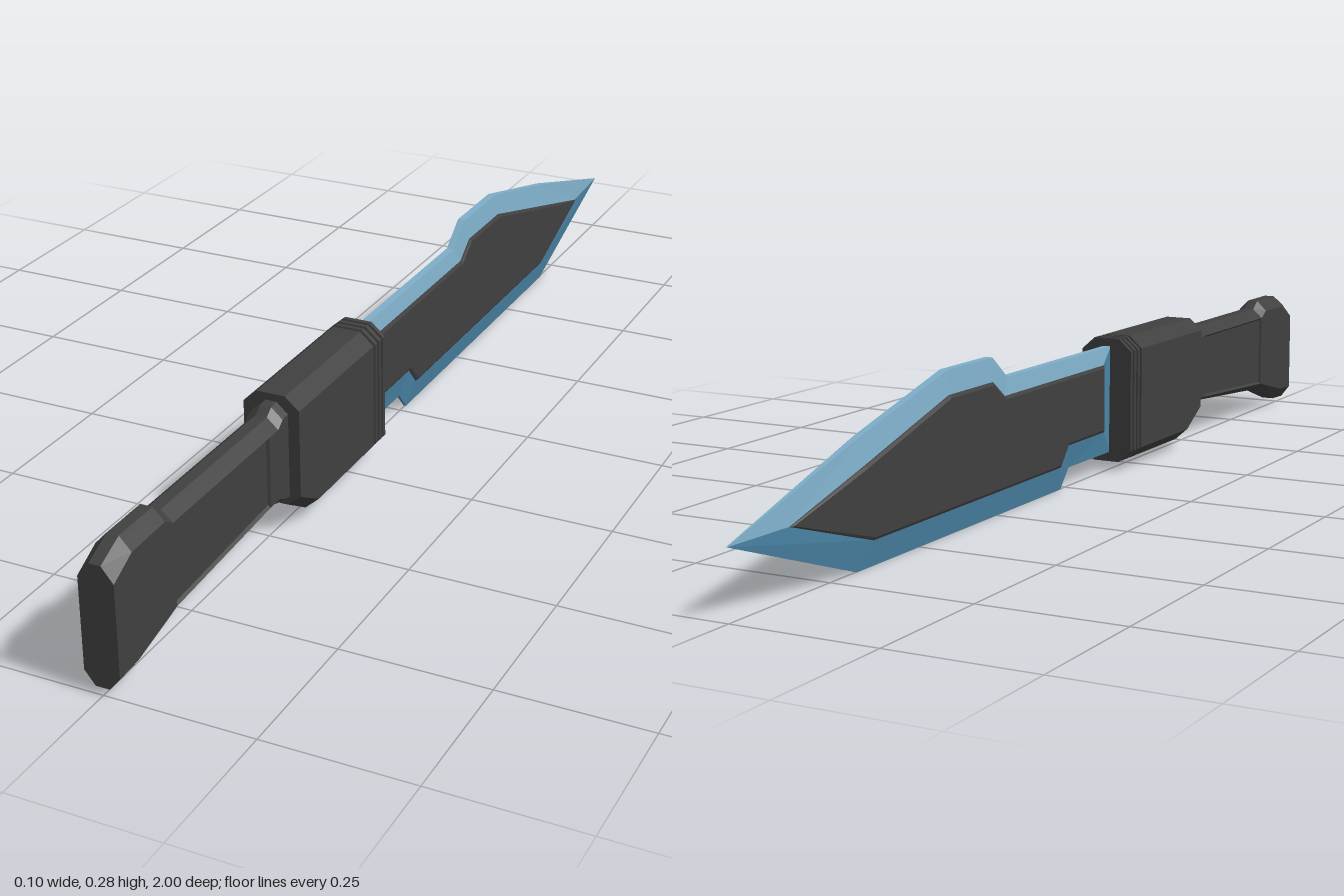
import * as THREE from 'three';

const dark = new THREE.MeshStandardMaterial({ color: 0x404040, flatShading: true });
dark.name = 'charcoal';
const lightBlue = new THREE.MeshStandardMaterial({ color: 0x7eaec8, flatShading: true });
lightBlue.name = 'light blue';
const deepBlue = new THREE.MeshStandardMaterial({ color: 0x4a84a6, flatShading: true });
deepBlue.name = 'deep blue';

function meshFromTriangles(name, positions, material) {
  const geometry = new THREE.BufferGeometry();
  geometry.setAttribute('position', new THREE.Float32BufferAttribute(positions, 3));
  geometry.computeVertexNormals();
  const mesh = new THREE.Mesh(geometry, material);
  mesh.name = name;
  return mesh;
}

function quad(out, a, b, c, d) {
  out.push(...a, ...b, ...c, ...a, ...c, ...d);
}

// Chamfered cross-section, counter-clockwise seen from +z; d sinks the side panels
function section({ z, top, st, sb, bot, w, tw, bw, d = 0 }) {
  const e = d ? 0.004 : 0.001;
  const half = [[bw, bot], [w, sb], [w - d, sb + e], [w - d, st - e], [w, st], [tw, top]];
  const mirrored = half.map(([x, y]) => [-x, y]).reverse();
  return [...half, ...mirrored].map(([x, y]) => [x, y, z]);
}

// Skin sections ordered by rising z and close both ends
function loft(name, sections, material) {
  const rings = sections.map(section);
  const out = [];
  const n = rings[0].length;
  for (let i = 0; i < rings.length - 1; i++) {
    for (let j = 0; j < n; j++) {
      const k = (j + 1) % n;
      quad(out, rings[i][j], rings[i][k], rings[i + 1][k], rings[i + 1][j]);
    }
  }
  const first = rings[0], last = rings[rings.length - 1];
  for (let j = 1; j < n - 1; j++) {
    out.push(...last[0], ...last[j], ...last[j + 1]);
    out.push(...first[0], ...first[j + 1], ...first[j]);
  }
  return meshFromTriangles(name, out, material);
}

// Matching outer and inner blade outlines as [z, y], with outer half thickness
const outer = [
  [0.17, 0.235, 0.007], [-0.22, 0.235, 0.007], [-0.27, 0.275, 0.007], [-0.415, 0.275, 0.007],
  [-0.67, 0.21, 0.006], [-1, 0.11, 0.001], [-0.68, 0, 0.002], [-0.02, 0, 0.002],
  [0.01, 0.035, 0.003], [0.17, 0.035, 0.005],
];
const inner = [
  [0.13, 0.205], [-0.24, 0.205], [-0.28, 0.235], [-0.42, 0.235], [-0.67, 0.165],
  [-0.86, 0.11], [-0.65, 0.045], [-0.04, 0.045], [-0.01, 0.08], [0.13, 0.08],
];

function bladeBevels(name, from, to, material) {
  const out = [];
  const thickness = (z) => (z < -0.8 ? 0.007 : 0.012);
  for (let i = from; i < to; i++) {
    const k = (i + 1) % outer.length;
    const o = (s, p) => [s * outer[p][2], outer[p][1], outer[p][0]];
    const n = (s, p) => [s * thickness(inner[p][0]), inner[p][1], inner[p][0]];
    quad(out, o(1, i), n(1, i), n(1, k), o(1, k));
    quad(out, o(-1, i), o(-1, k), n(-1, k), n(-1, i));
    quad(out, o(-1, i), o(1, i), o(1, k), o(-1, k));
  }
  return meshFromTriangles(name, out, material);
}

function bladeCore() {
  const shape = new THREE.Shape(inner.map(([z, y]) => new THREE.Vector2(-z, y)));
  const geometry = new THREE.ExtrudeGeometry(shape, {
    depth: 0.028, bevelEnabled: true, bevelThickness: 0.003,
    bevelSize: 0.005, bevelOffset: -0.005, bevelSegments: 1,
  });
  geometry.translate(0, 0, -0.014);
  geometry.rotateY(Math.PI / 2);
  // Thin the core toward the tip
  const p = geometry.attributes.position;
  for (let i = 0; i < p.count; i++) {
    const t = THREE.MathUtils.clamp((-0.67 - p.getZ(i)) / 0.19, 0, 1);
    p.setX(i, p.getX(i) * (1 - 0.4 * t));
  }
  geometry.computeVertexNormals();
  const mesh = new THREE.Mesh(geometry, dark);
  mesh.name = 'bladeCore';
  return mesh;
}

export function createModel() {
  const model = new THREE.Group();
  model.name = 'knife';

  // Blade
  const blade = new THREE.Group();
  blade.name = 'blade';
  blade.add(
    bladeBevels('bladeSpine', 0, 5, lightBlue),
    bladeBevels('bladeEdge', 5, 10, deepBlue),
    bladeCore(),
  );
  model.add(blade);

  // Guard block with a slanted heel
  const block = { top: 0.25, st: 0.228, sb: 0.04, bot: 0.018, w: 0.05, tw: 0.025, bw: 0.025 };
  const groove = { top: 0.242, st: 0.222, sb: 0.046, bot: 0.026, w: 0.043, tw: 0.021, bw: 0.021 };
  model.add(loft('guard', [
    { ...block, z: 0.212 },
    { ...block, z: 0.42 },
    { ...block, z: 0.482, sb: 0.075, bot: 0.055 },
  ], dark));

  // Ribbed collar between guard and blade
  const ribs = [];
  for (let i = 0; i < 3; i++) {
    const z = 0.167 + i * 0.015;
    ribs.push({ ...block, z }, { ...block, z: z + 0.008 });
    ribs.push({ ...groove, z: z + 0.01 }, { ...groove, z: z + 0.014 });
  }
  ribs.push({ ...groove, z: 0.214 });
  model.add(loft('collar', ribs, dark));

  // Grip with sunken side panels, flaring into the pommel
  const g = { w: 0.03, tw: 0.01, bw: 0.012 };
  const waistFront = { ...g, top: 0.225, st: 0.207, sb: 0.083, bot: 0.074 };
  const waistBack = { ...g, top: 0.225, st: 0.207, sb: 0.066, bot: 0.052 };
  model.add(loft('grip', [
    { ...g, z: 0.475, top: 0.238, st: 0.22, sb: 0.07, bot: 0.055 },
    { ...g, z: 0.5, top: 0.236, st: 0.218, sb: 0.075, bot: 0.062 },
    { ...waistFront, z: 0.515 },
    { ...waistFront, z: 0.545 },
    { ...waistFront, z: 0.547, d: 0.005 },
    { ...waistBack, z: 0.836, d: 0.005 },
    { ...waistBack, z: 0.838 },
    { ...g, z: 0.86, top: 0.24, st: 0.22, sb: 0.06, bot: 0.045 },
    { ...g, z: 0.95, top: 0.24, st: 0.218, sb: 0.038, bot: 0.015 },
    { ...g, z: 1, top: 0.217, st: 0.192, sb: 0.036, bot: 0.013 },
  ], dark));

  return model;
}
